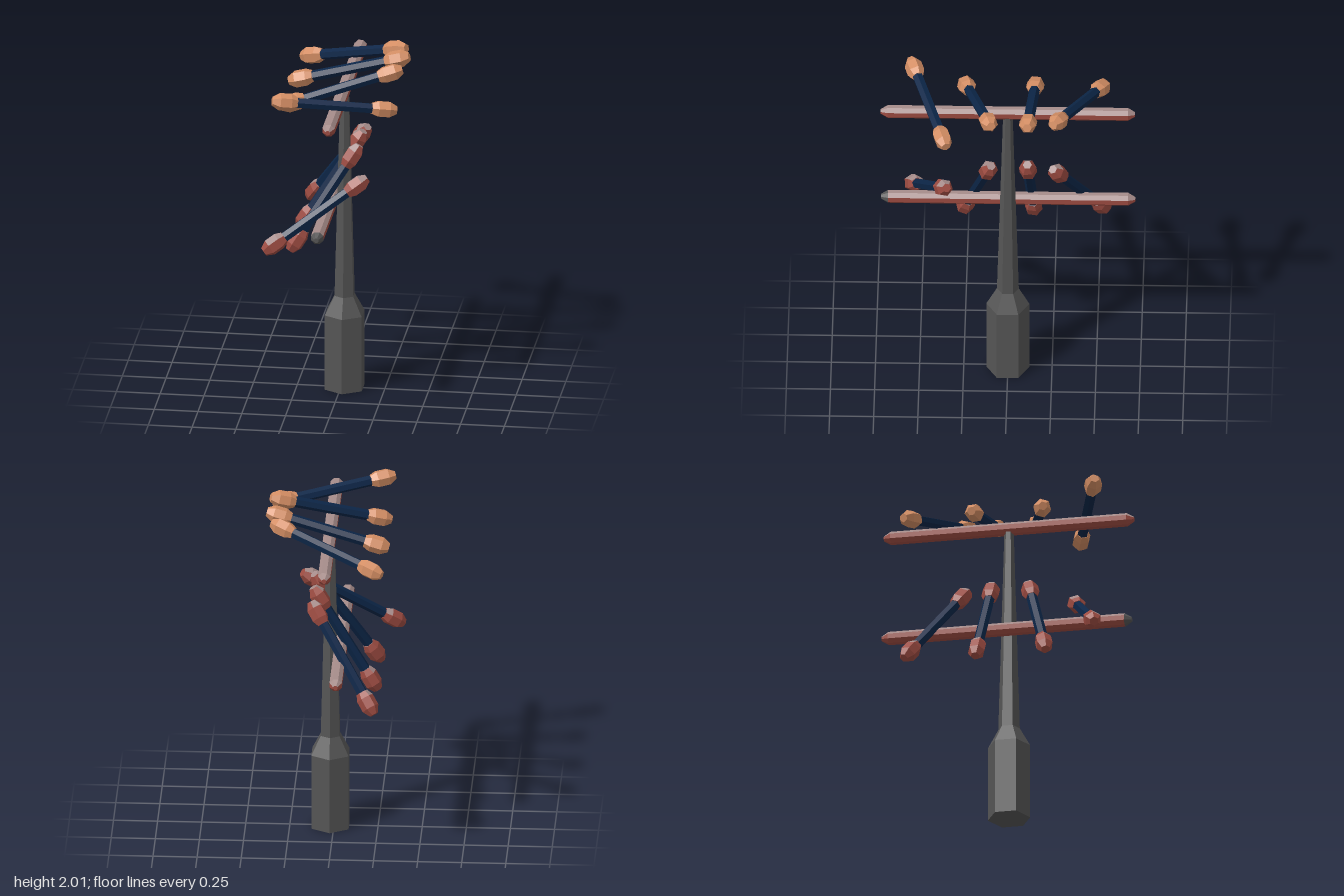
import * as THREE from 'three';

const flat = (name, color) => {
  const m = new THREE.MeshStandardMaterial({ color, flatShading: true });
  m.name = name;
  return m;
};

// Lathe from [radius, height] pairs, listed bottom to top
const lathe = (pairs, sides, start = 0) =>
  new THREE.LatheGeometry(pairs.map(([r, y]) => new THREE.Vector2(r, y)), sides, start);

// Sorts triangles into groups: pick(normal, centre) returns the material index
function splitFaces(geometry, pick) {
  const g = geometry.toNonIndexed();
  g.clearGroups();
  const p = g.attributes.position;
  const t = new THREE.Triangle(), n = new THREE.Vector3(), c = new THREE.Vector3();
  for (let i = 0; i < p.count; i += 3) {
    t.setFromAttributeAndIndices(p, i, i + 1, i + 2);
    t.getNormal(n);
    t.getMidpoint(c);
    g.addGroup(i, 3, pick(n, c));
  }
  return g;
}

export function createModel() {
  const model = new THREE.Group();
  model.name = 'rodSculpture';
  const grey = flat('postGrey', 0x555555);
  const red = flat('brickRed', 0x9e4c42);
  const pale = flat('paleRose', 0xa68c8a);
  const orange = flat('softOrange', 0xd48e64);
  const navy = flat('navy', 0x0c2648);

  const add = (name, geometry, material, parent = model) => {
    const mesh = new THREE.Mesh(geometry, material);
    mesh.name = name;
    parent.add(mesh);
    return mesh;
  };

  // Hexagonal post with a heavy foot and a long taper
  add('post', lathe([[0, 0], [0.122, 0], [0.122, 0.45], [0.062, 0.56], [0.027, 1.8], [0, 1.8]], 6), grey)
    .position.x = 0.02;

  // Two long octagonal bars, pale on their upper faces
  const bar = (name, x, y, greyTip) => {
    const g = lathe([[0, -0.72], [0.014, -0.72], [0.038, -0.68], [0.038, 0.68], [0.014, 0.72], [0, 0.72]], 8, Math.PI / 8);
    g.rotateX(Math.PI / 2);
    const split = splitFaces(g, (n, c) => (greyTip && c.z > 0.68 ? 2 : n.y > 0.6 ? 1 : 0));
    add(name, split, [red, pale, grey]).position.set(x, y, 0);
  };
  bar('upperBar', 0.02, 1.81, false);
  bar('lowerBar', -0.045, 1.155, true);

  // Rod between two points with a faceted knob on each end
  const up = new THREE.Vector3(0, 1, 0);
  const knobProfile = [[0, -0.072], [0.034, -0.072], [0.05, -0.035], [0.05, 0.03], [0.026, 0.072], [0, 0.072]];
  const knobRod = (name, from, to, painted) => {
    const a = new THREE.Vector3(...from), b = new THREE.Vector3(...to);
    const dir = b.clone().sub(a), length = dir.length();
    dir.normalize();
    const q = new THREE.Quaternion().setFromUnitVectors(up, dir);
    const group = new THREE.Group();
    group.name = name;
    const rod = add('rod', new THREE.CylinderGeometry(0.031, 0.031, length, 6, 1, true), navy, group);
    rod.quaternion.copy(q);
    rod.position.copy(a).lerp(b, 0.5);
    [[a, -1], [b, 1]].forEach(([point, sign]) => {
      const outward = dir.clone().multiplyScalar(sign);
      const g = lathe(knobProfile, 6);
      g.applyQuaternion(new THREE.Quaternion().setFromUnitVectors(up, outward));
      const knob = painted
        ? add('knob', splitFaces(g, (n) => (n.y > 0.75 ? 1 : 0)), [red, pale], group)
        : add('knob', g, orange, group);
      knob.position.copy(point);
    });
    model.add(group);
  };

  // Fan of rods above the upper bar
  [
    [[-0.235, 1.8, -0.52], [0.275, 1.95, -0.29]],
    [[-0.25, 1.8, -0.15], [0.305, 1.955, -0.12]],
    [[-0.245, 1.8, 0.24], [0.295, 1.955, 0.105]],
    [[-0.25, 1.915, 0.535], [0.295, 1.835, 0.365]],
  ].forEach(([a, b], i) => knobRod(`upperRod${i + 1}`, a, b, false));

  // Steeper fan of rods crossing the lower bar
  [
    [[-0.22, 0.98, -0.525], [0.08, 1.43, -0.285]],
    [[-0.22, 0.965, -0.14], [0.075, 1.45, -0.115]],
    [[-0.22, 0.97, 0.245], [0.08, 1.445, 0.11]],
    [[-0.31, 1.05, 0.54], [0.14, 1.365, 0.365]],
  ].forEach(([a, b], i) => knobRod(`lowerRod${i + 1}`, a, b, true));

  return model;
}
